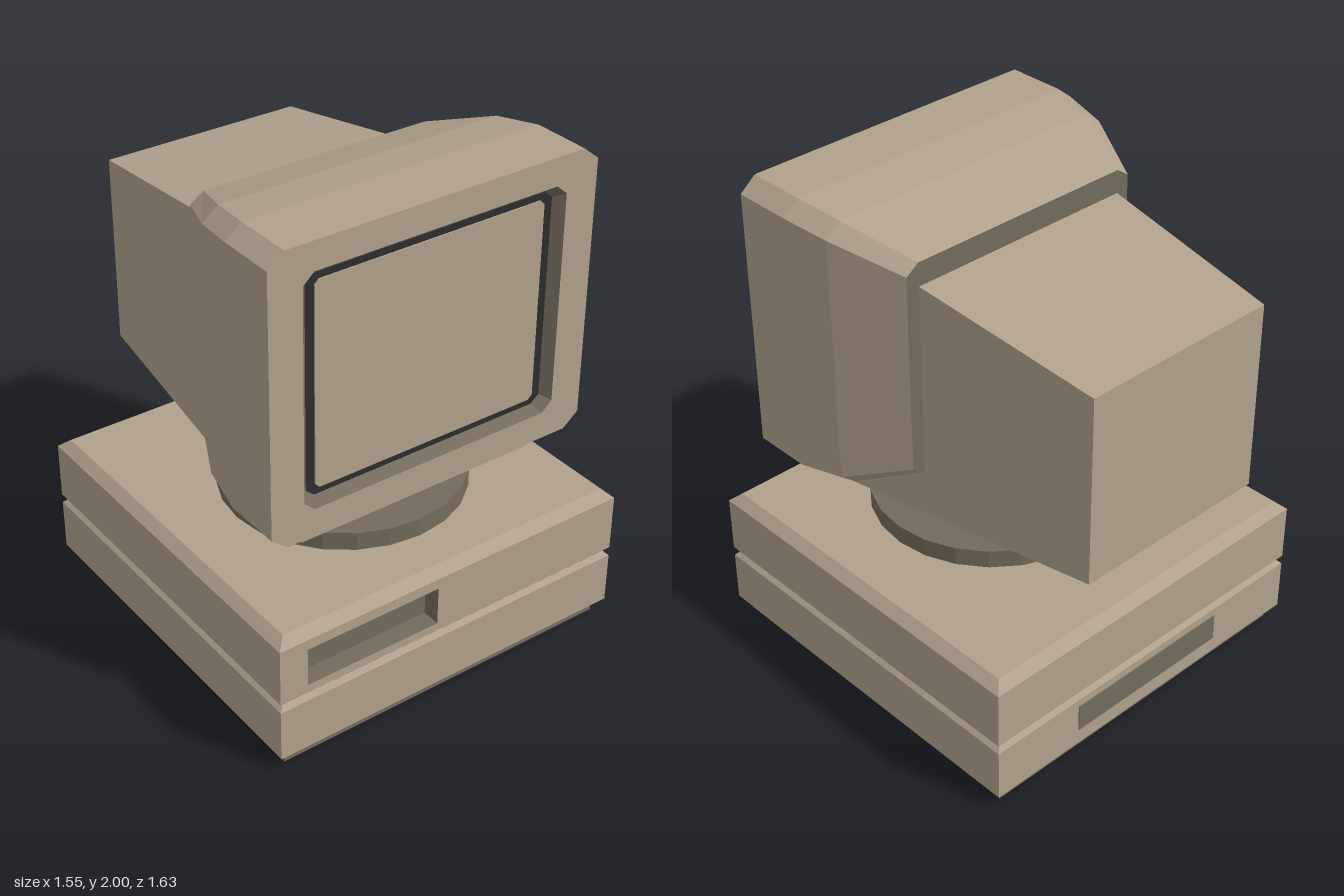
import * as THREE from 'three';

const mat = (name, color) => {
  const m = new THREE.MeshStandardMaterial({ color });
  m.name = name;
  return m;
};

// Skin a stack of matching loops, each counter-clockwise about the stacking direction.
function loft(loops, { start = false, end = false, skip = () => false } = {}) {
  const pos = [];
  const tri = (...pts) => pts.forEach((p) => pos.push(...p));
  const n = loops[0].length;
  for (let s = 0; s < loops.length - 1; s++) {
    const a = loops[s], b = loops[s + 1];
    for (let i = 0; i < n; i++) {
      if (skip(s, i)) continue;
      const j = (i + 1) % n;
      tri(a[i], a[j], b[j]);
      tri(a[i], b[j], b[i]);
    }
  }
  const first = loops[0], last = loops[loops.length - 1];
  for (let i = 1; i < n - 1; i++) {
    if (start) tri(first[0], first[i + 1], first[i]);
    if (end) tri(last[0], last[i], last[i + 1]);
  }
  const g = new THREE.BufferGeometry();
  g.setAttribute('position', new THREE.Float32BufferAttribute(pos, 3));
  g.computeVertexNormals();
  return g;
}

// Upright rectangle and chamfered rectangle at depth z, and a level square at height y.
const rect = (x0, x1, y0, y1, z) => [[x0, y0, z], [x1, y0, z], [x1, y1, z], [x0, y1, z]];
const octagon = (hx, y0, y1, z, cx, cy) => [
  [hx, y0 + cy, z], [hx, y1 - cy, z], [hx - cx, y1, z], [cx - hx, y1, z],
  [-hx, y1 - cy, z], [-hx, y0 + cy, z], [cx - hx, y0, z], [hx - cx, y0, z],
];
const CASE_Z = 0.04;
const level = (h, y) => [[h, y, CASE_Z + h], [h, y, CASE_Z - h], [-h, y, CASE_Z - h], [-h, y, CASE_Z + h]];

export function createModel() {
  const beige = mat('beige plastic', 0xb0a18d);
  const dark = mat('dark beige plastic', 0x736b5c);
  const black = mat('black trim', 0x2b2c2c);

  const model = new THREE.Group();
  model.name = 'desktopComputer';
  const add = (parent, name, geometry, material) => {
    const mesh = new THREE.Mesh(geometry, material);
    mesh.name = name;
    parent.add(mesh);
    return mesh;
  };
  const group = (name) => {
    const g = new THREE.Group();
    g.name = name;
    model.add(g);
    return g;
  };

  // Computer case: grooved, bevelled block with a drive slot in the front
  const computer = group('computerCase');
  add(computer, 'foot', loft([level(0.74, 0), level(0.74, 0.06)], { start: true }), dark);
  const H = 0.777, front = CASE_Z + H;
  add(computer, 'caseBody', loft(
    [level(H, 0.06), level(H, 0.275), level(H - 0.018, 0.294), level(H, 0.314), level(H, 0.55), level(H - 0.04, 0.585)],
    { start: true, end: true, skip: (s, i) => s === 3 && i === 3 },
  ), beige);
  const slot = (z) => rect(-0.66, -0.08, 0.347, 0.507, z);
  add(computer, 'caseFront', loft([rect(-H, H, 0.314, 0.55, front), slot(front)]), beige);
  add(computer, 'driveSlot', loft([slot(front), slot(front - 0.075)], { end: true }), dark);
  const rearPanel = add(computer, 'rearPanel', new THREE.BoxGeometry(0.745, 0.115, 0.008), dark);
  rearPanel.position.set(0, 0.185, CASE_Z - H);

  // Swivel stand: disc, neck and flared cup
  const stand = group('swivelStand');
  stand.position.z = 0.118;
  const profile = [[0, 0.585], [0.488, 0.585], [0.488, 0.66], [0.163, 0.66], [0.163, 0.7], [0.325, 0.832]];
  const standGeometry = new THREE.LatheGeometry(profile.map(([x, y]) => new THREE.Vector2(x, y)), 24).toNonIndexed();
  standGeometry.computeVertexNormals();
  add(stand, 'stand', standGeometry, dark);

  // Monitor: tapering rear housing with the chin below the hood
  const monitor = group('monitor');
  add(monitor, 'rearHousing', loft([
    rect(-0.42, 0.42, 0.9, 1.675, -0.815),
    rect(-0.52, 0.52, 0.765, 1.843, 0.37),
    rect(-0.52, 0.52, 0.765, 0.94, 0.583),
  ], { start: true, end: true }), beige);

  // Hood flares forward, then folds in to the screen opening
  const rear = octagon(0.54, 1.0, 1.88, -0.04, 0.055, 0.038);
  const opening = octagon(0.56, 0.955, 1.888, 0.66, 0.045, 0.04);
  add(monitor, 'hood', loft([
    rear,
    octagon(0.662, 0.87, 1.973, 0.23, 0.065, 0.052),
    octagon(0.697, 0.842, 2.0, 0.42, 0.067, 0.054),
    octagon(0.697, 0.842, 2.0, 0.66, 0.067, 0.054),
    opening,
  ]), beige);
  add(monitor, 'hoodBack', loft([rear], { start: true }), dark);

  // Screen surround and screen
  const surround = octagon(0.527, 0.985, 1.858, 0.622, 0.035, 0.03);
  add(monitor, 'screenBevel', loft([opening, surround]), dark);
  add(monitor, 'screenSurround', loft([surround], { end: true }), black);
  add(monitor, 'screen', loft([
    octagon(0.49, 1.012, 1.832, 0.622, 0.018, 0.018),
    octagon(0.49, 1.012, 1.832, 0.627, 0.018, 0.018),
  ], { end: true }), beige);

  return model;
}
